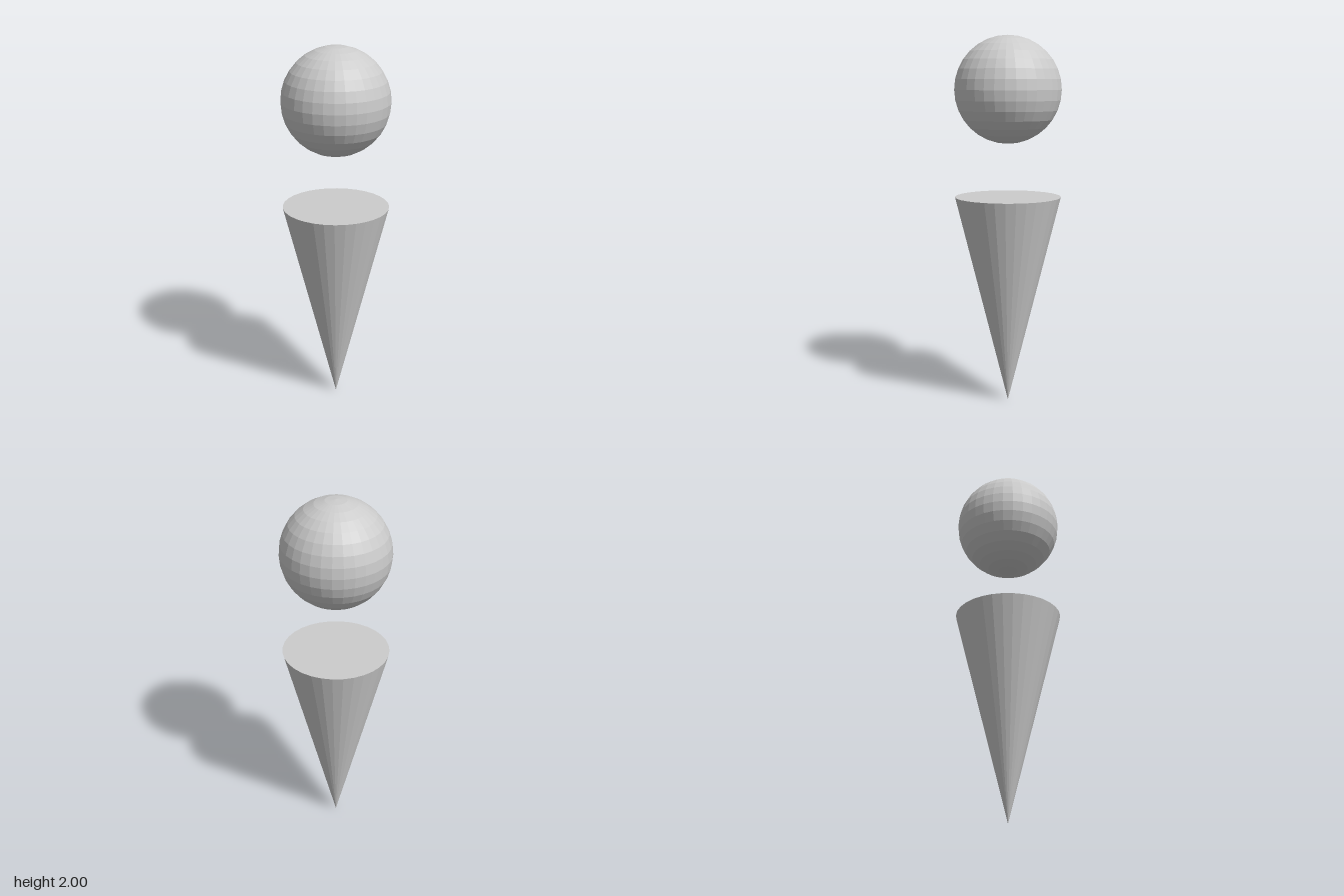
import * as THREE from 'three';

export function createModel() {
  const model = new THREE.Group();
  const material = new THREE.MeshStandardMaterial({ color: 0xcccccc, flatShading: true });
  const radius = 2 / 7;
  const coneHeight = 4 * radius;

  const addPart = (name, geometry, y) => {
    const mesh = new THREE.Mesh(geometry, material);
    mesh.name = name;
    mesh.position.y = y;
    model.add(mesh);
  };

  // Capped cone standing on its tip
  const cone = new THREE.ConeGeometry(radius, coneHeight, 32).rotateX(Math.PI);
  addPart('cone', cone, coneHeight / 2);

  // Ball floating one radius above the cone
  addPart('ball', new THREE.SphereGeometry(radius, 32, 16), 2 - radius);

  return model;
}
